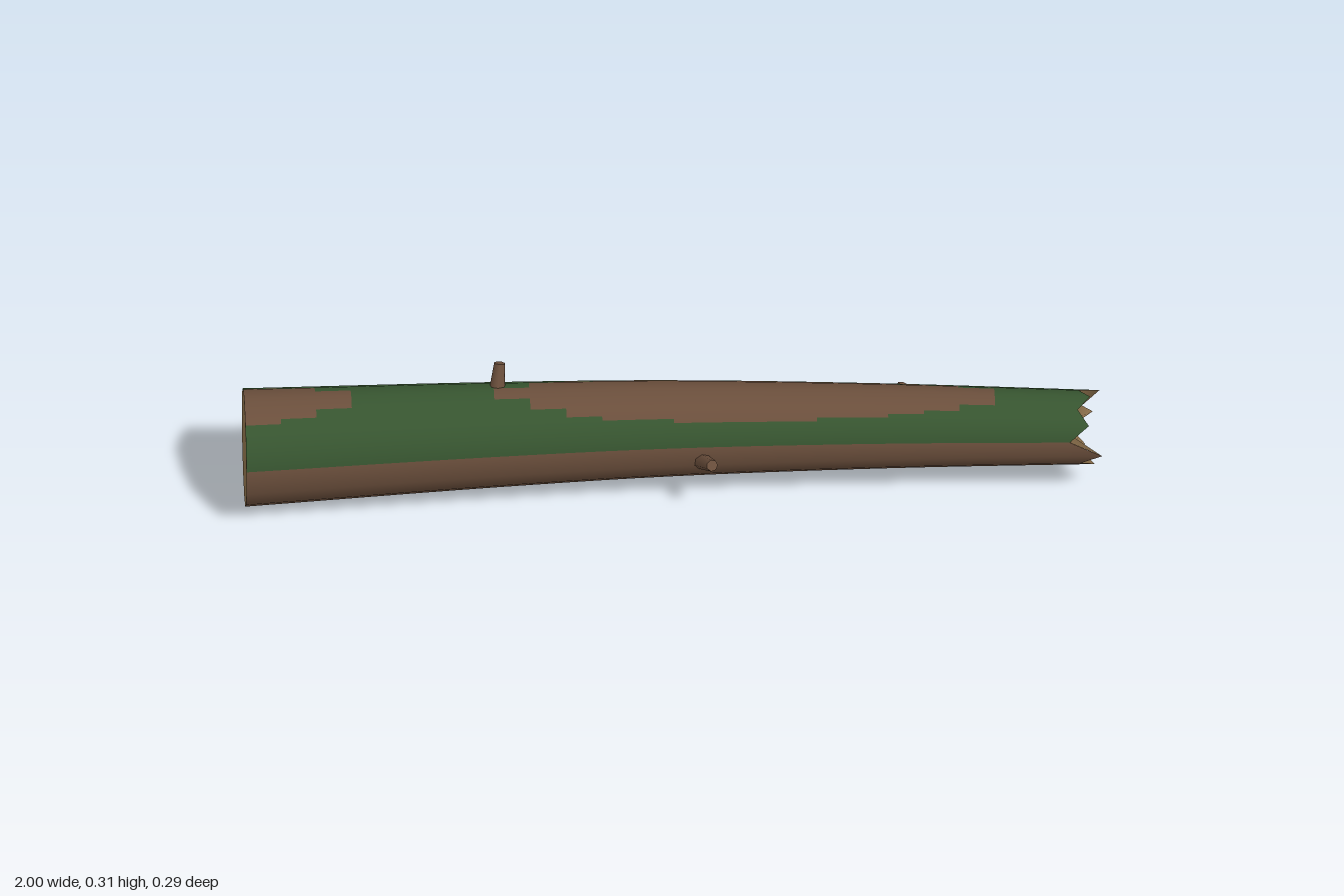
import * as THREE from 'three';

const SIDES = 14, SUB = 5, COLS = SIDES * SUB, ROWS = 23;
const END = 0.92; // where the splintered rim begins

// Uneven radius of each corner, and how far each splinter reaches
const bumps = [1, 0.98, 1.01, 0.99, 1.01, 0.98, 1, 1, 0.98, 1, 0.97, 0.98, 1, 0.97];
const teeth = [0.975, 0.945, 0.97, 0.925, 1, 0.95, 0.985, 0.94, 0.965, 0.93, 0.985, 0.925, 1, 0.95];

// Gentle sideways bend of the trunk
const bend = new THREE.CatmullRomCurve3([
  [-1, 0.142, 0.006], [-0.4, 0.142, -0.02], [0, 0.142, -0.028], [0.5, 0.144, -0.015], [1, 0.147, 0.013],
].map(p => new THREE.Vector3(...p)));
const centreAt = x => {
  let lo = 0, hi = 1;
  for (let i = 0; i < 24; i++) {
    const mid = (lo + hi) / 2;
    if (bend.getPoint(mid).x < x) lo = mid; else hi = mid;
  }
  return bend.getPoint(lo);
};
const radiusAt = x => 0.115 - 0.0267 * x;

// Corner k of the cross-section as [y, z] offsets; angle 0 is straight up
function corner(k, r) {
  const a = (k / SIDES) * Math.PI * 2, q = r * bumps[k % SIDES];
  return [Math.cos(a) * q, Math.sin(a) * q];
}

// Point on the trunk in column j; the last row runs out to the splinters
function surfacePoint(x, j, splintered) {
  const k = Math.floor(j / SUB), t = (j % SUB) / SUB;
  if (splintered) x = THREE.MathUtils.lerp(teeth[k % SIDES], teeth[(k + 1) % SIDES], t);
  const c = centreAt(x), r = radiusAt(x);
  const p = corner(k, r), q = corner(k + 1, r);
  return [x, c.y + p[0] + (q[0] - p[0]) * t, c.z + p[1] + (q[1] - p[1]) * t];
}

// Moss covers the upper side except for two bare oval patches
function isMossy(x, degrees) {
  if (Math.abs(degrees) > 75) return false;
  const oval = (cx, len, width) => ((x - cx) / len) ** 2 + (degrees / width) ** 2 < 1;
  return !oval(0.19, 0.58, 46) && !oval(-1.02, 0.27, 32);
}

function trunkGeometry() {
  const pos = [], nor = [], barkFaces = [], mossFaces = [];
  const xs = Array.from({ length: ROWS + 1 }, (_, i) => -1 + (END + 1) * i / ROWS);
  xs.push(1);
  xs.forEach((x, i) => {
    for (let j = 0; j <= COLS; j++) {
      const a = (j / COLS) * Math.PI * 2;
      pos.push(...surfacePoint(x, j, i > ROWS));
      nor.push(0.03, Math.cos(a), Math.sin(a));
    }
  });
  for (let i = 0; i <= ROWS; i++) {
    for (let j = 0; j < COLS; j++) {
      const a = i * (COLS + 1) + j, b = a + COLS + 1;
      let deg = (j + 0.5) / COLS * 360;
      if (deg > 180) deg -= 360;
      const list = isMossy((xs[i] + xs[i + 1]) / 2, deg) ? mossFaces : barkFaces;
      list.push(a, a + 1, b, a + 1, b + 1, b);
    }
  }
  const g = new THREE.BufferGeometry();
  g.setAttribute('position', new THREE.Float32BufferAttribute(pos, 3));
  g.setAttribute('normal', new THREE.Float32BufferAttribute(nor, 3));
  g.setIndex([...barkFaces, ...mossFaces]);
  g.addGroup(0, barkFaces.length, 0);
  g.addGroup(barkFaces.length, mossFaces.length, 1);
  return g;
}

// Fan of bare wood closing one end of the trunk
function endGeometry(centreX, splintered) {
  const c = centreAt(centreX), pos = [centreX, c.y, c.z], index = [];
  for (let k = 0; k < SIDES; k++) {
    pos.push(...surfacePoint(-1, k * SUB, splintered));
    const a = k + 1, b = (k + 1) % SIDES + 1;
    index.push(0, ...(splintered ? [a, b] : [b, a]));
  }
  const g = new THREE.BufferGeometry();
  g.setAttribute('position', new THREE.Float32BufferAttribute(pos, 3));
  g.setIndex(index);
  g.computeVertexNormals();
  return g;
}

export function createModel() {
  const material = (name, color) => {
    const m = new THREE.MeshStandardMaterial({ color });
    m.name = name;
    return m;
  };
  const bark = material('bark', 0x6b4f3c);
  const moss = material('moss', 0x375530);
  const wood = material('bareWood', 0x937650);

  const log = new THREE.Group();
  log.name = 'fallenLog';
  const add = (name, geometry, mat) => {
    const mesh = new THREE.Mesh(geometry, mat);
    mesh.name = name;
    log.add(mesh);
    return mesh;
  };

  add('trunk', trunkGeometry(), [bark, moss]);
  add('sawnEnd', endGeometry(-1, false), wood);
  add('splinteredEnd', endGeometry(0.9, true), wood);

  // Broken branch stubs: base point, tip point, base radius, tip radius
  const stubs = [
    [[-0.408, 0.23, -0.048], [-0.4, 0.308, -0.077], 0.021, 0.013],
    [[0.06, 0.115, 0.06], [0.088, 0.155, 0.136], 0.021, 0.014],
    [[0.53, 0.14, -0.08], [0.542, 0.165, -0.144], 0.019, 0.012],
  ];
  for (const [from, to, r0, r1] of stubs) {
    const base = new THREE.Vector3(...from), tip = new THREE.Vector3(...to);
    const dir = tip.clone().sub(base);
    const stub = add('branchStub', new THREE.CylinderGeometry(r1, r0, dir.length(), 7), bark);
    stub.position.copy(base).add(tip).multiplyScalar(0.5);
    stub.quaternion.setFromUnitVectors(new THREE.Vector3(0, 1, 0), dir.normalize());
  }
  return log;
}
